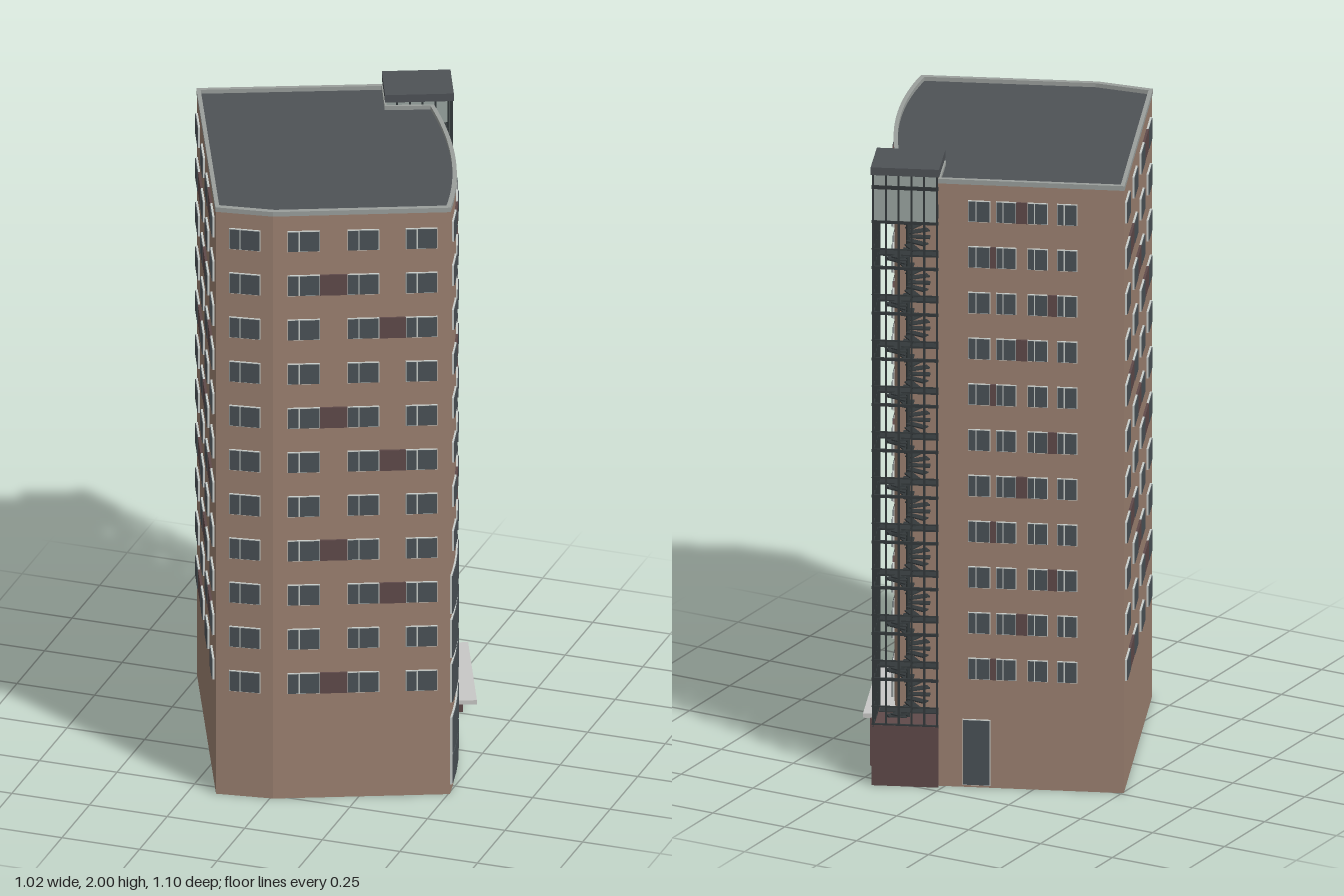
import * as THREE from 'three';

const paint = (name, color, side = THREE.FrontSide) => {
  const m = new THREE.MeshStandardMaterial({ color, side });
  m.name = name;
  return m;
};
const BRICK = paint('brick', 0x9c8171, THREE.DoubleSide);
const ROOF = paint('roofGrey', 0x4e5256);
const RIM = paint('rimGrey', 0x9a9f9c);
const GLASS = paint('darkGlass', 0x4a5156);
const FRAME = paint('windowFrame', 0xc9cecb);
const MAROON = paint('maroonPanel', 0x5f4a4a);
const STEEL = paint('darkSteel', 0x33393b);
const PALE = paint('paleGlass', 0x9aa5a1, THREE.DoubleSide);
const CANOPY = paint('canopyGrey', 0xc8c8c6);

// Plan corners as [x, z]; the right wall is a shallow arc x(z)
const A = [-0.505, -0.24], B = [-0.165, 0.545], C = [0.01, 0.52], D = [0.505, 0.31];
const E = [0.21, -0.37], N = [0.077, -0.318], F = [0.018, -0.457];
const arc = (z) => {
  const s = (z + 0.03) / 0.34;
  return [0.4 + 0.1475 * s - 0.0425 * s * s, z];
};
const mix = (a, b, t) => [a[0] + (b[0] - a[0]) * t, a[1] + (b[1] - a[1]) * t];
const arcPoints = Array.from({ length: 25 }, (_, i) => arc(0.31 - (0.68 * i) / 24));
const outline = [A, B, C, ...arcPoints, N, F];
const TOP = 1.952, ROWS = 11, STEP = 0.148;

function add(parent, name, geometry, material) {
  const m = new THREE.Mesh(geometry, material);
  m.name = name;
  parent.add(m);
  return m;
}
function group(parent, name) {
  const g = new THREE.Group();
  g.name = name;
  parent.add(g);
  return g;
}
function block(parent, name, w, h, d, x, y, z, material) {
  const m = add(parent, name, new THREE.BoxGeometry(w, h, d), material);
  m.position.set(x, y, z);
  return m;
}
// Thin plate standing on the wall line a-b, sticking out by `out`
function plate(parent, name, a, b, y0, y1, out, material) {
  const dx = b[0] - a[0], dz = b[1] - a[1];
  const m = block(parent, name, Math.hypot(dx, dz), y1 - y0, out,
    (a[0] + b[0]) / 2, (y0 + y1) / 2, (a[1] + b[1]) / 2, material);
  m.rotation.y = Math.atan2(-dz, dx);
  m.translateZ(out / 2);
}
// Frame plate with a grid of glass panes on it
function glazing(parent, name, a, b, y0, y1, cols, rows = [0, 1], edge = 0.004) {
  const g = group(parent, name);
  const e = edge / 2 / Math.hypot(b[0] - a[0], b[1] - a[1]);
  plate(g, 'frame', a, b, y0, y1, 0.006, FRAME);
  for (let i = 0; i + 1 < cols.length; i++)
    for (let j = 0; j + 1 < rows.length; j++)
      plate(g, 'pane', mix(a, b, cols[i] + e), mix(a, b, cols[i + 1] - e),
        y0 + (y1 - y0) * rows[j] + edge / 2, y0 + (y1 - y0) * rows[j + 1] - edge / 2, 0.0085, GLASS);
}
// Open wall strip along plan points
function strip(points, y0, y1) {
  const pos = [], idx = [];
  points.forEach(([x, z], i) => {
    pos.push(x, y0, z, x, y1, z);
    if (i) idx.push(2 * i - 2, 2 * i, 2 * i + 1, 2 * i - 2, 2 * i + 1, 2 * i - 1);
  });
  const g = new THREE.BufferGeometry();
  g.setAttribute('position', new THREE.Float32BufferAttribute(pos, 3));
  g.setIndex(idx);
  g.computeVertexNormals();
  return g;
}
const planShape = (pts) => new THREE.Shape(pts.map(([x, z]) => new THREE.Vector2(x, -z)));
function slab(shape, y0, y1) {
  return new THREE.ExtrudeGeometry(shape, { depth: y1 - y0, bevelEnabled: false })
    .rotateX(-Math.PI / 2).translate(0, y0, 0);
}
// Rows of windows; gaps[row % 3] lists the window gaps filled by maroon panels
function windowRows(parent, name, at, spans, gaps, visible = () => true) {
  const g = group(parent, name);
  for (let r = 0; r < ROWS; r++) {
    const y = 1.865 - r * STEP;
    spans.forEach(([s, e], i) => {
      if (!visible(r, i)) return;
      glazing(g, 'window', at(s), at(e), y - 0.034, y + 0.034, [0, 0.36, 1]);
      if (gaps[r % 3].includes(i) && i + 1 < spans.length)
        plate(g, 'spandrel', at(e), at(spans[i + 1][0]), y - 0.034, y + 0.034, 0.007, MAROON);
    });
  }
}

function stairTower(parent) {
  const g = group(parent, 'stairTower');
  g.position.set(0.1375, 0, -0.434);
  g.rotation.y = 0.4;
  const W = 0.203, P = 0.17, y0 = 0.195, y1 = 1.975, mid = (y0 + y1) / 2, h = y1 - y0;
  block(g, 'towerBase', W, y0, P, 0, y0 / 2, 0, MAROON);
  block(g, 'towerRoof', 0.209, 0.025, 0.174, 0, 1.9875, 0, ROOF);
  // Posts and rails on the outer sides
  for (let i = 0; i <= 5; i++)
    block(g, 'backPost', 0.006, h, 0.008, -W / 2 + 0.004 + (i * (W - 0.008)) / 5, mid, -P / 2 + 0.004, STEEL);
  for (let i = 1; i <= 4; i++)
    block(g, 'sidePost', 0.008, h, 0.006, W / 2 - 0.004, mid, -P / 2 + 0.004 + (i * (P - 0.008)) / 4, STEEL);
  for (let r = 0; r <= ROWS; r++) {
    const y = y0 + r * STEP;
    block(g, 'backRail', W, 0.009, 0.007, 0, y, -P / 2 + 0.004, STEEL);
    block(g, 'sideRail', 0.007, 0.009, P, W / 2 - 0.004, y, 0, STEEL);
    block(g, 'landing', W - 0.02, 0.006, 0.05, 0, y, P / 2 - 0.03, STEEL);
    if (r < ROWS) {
      block(g, 'backHandrail', W, 0.004, 0.004, 0, y + 0.06, -P / 2 + 0.004, STEEL);
      block(g, 'sideHandrail', 0.004, 0.004, P, W / 2 - 0.004, y + 0.06, 0, STEEL);
    }
  }
  // Spiral stair
  const stair = group(g, 'spiralStair');
  const newel = add(stair, 'newel', new THREE.CylinderGeometry(0.006, 0.006, 1.62, 10), STEEL);
  newel.position.y = y0 + 0.81;
  const tread = new THREE.BoxGeometry(0.066, 0.004, 0.026).translate(0.035, 0, 0);
  for (let i = 0; i < ROWS * 12; i++) {
    const t = add(stair, 'tread', tread, STEEL);
    t.position.y = y0 + (i * STEP) / 12;
    t.rotation.y = (i * Math.PI) / 6;
  }
  // Glazed head
  block(g, 'backHeadGlass', W - 0.01, 0.152, 0.003, 0, 1.898, -P / 2 + 0.005, PALE);
  block(g, 'sideHeadGlass', 0.003, 0.152, P - 0.01, W / 2 - 0.005, 1.898, 0, PALE);
  block(g, 'headFloor', W - 0.012, 0.006, P - 0.012, 0, 1.823, 0, STEEL);
  block(g, 'headTopRail', W, 0.012, 0.007, 0, 1.935, -P / 2 + 0.004, STEEL);
}

export function createModel() {
  const model = new THREE.Group();
  model.name = 'towerBlock';

  // Walls, open underneath
  const walls = group(model, 'walls');
  const runs = { leftWall: [A, B], frontLeftWall: [B, C], frontWall: [C, D], curvedWall: [[...D], ...arcPoints.slice(1)],
    notchFront: [E, N], notchSide: [N, F], backWall: [F, A] };
  for (const [name, pts] of Object.entries(runs)) add(walls, name, strip(pts, 0, TOP), BRICK);

  // Roof and its rim
  add(model, 'roof', new THREE.ShapeGeometry(planShape(outline)).rotateX(-Math.PI / 2).translate(0, TOP, 0), ROOF);
  const ring = planShape(outline.map(([x, z]) => [x * 1.006, z * 1.006]));
  ring.holes.push(planShape(outline.map(([x, z]) => [x * 0.972, z * 0.972])));
  add(model, 'roofRim', slab(ring, 1.95, 1.965), RIM);

  // Windows
  const along = (a, b) => (t) => mix(a, b, t);
  windowRows(model, 'leftWindows', along(A, B),
    [[0.04, 0.165], [0.3, 0.42], [0.545, 0.665], [0.8, 0.92]], [[2], [0], [1]]);
  windowRows(model, 'frontLeftWindows', along(B, C), [[0.235, 0.78]], [[], [], []]);
  windowRows(model, 'frontWindows', along(C, D),
    [[0.08, 0.265], [0.42, 0.6], [0.75, 0.93]], [[], [0], [1]]);
  windowRows(model, 'backWindows', along(F, A),
    [[0.16, 0.28], [0.31, 0.42], [0.48, 0.59], [0.64, 0.75]], [[1], [0], [2]]);
  windowRows(model, 'curvedWindows', arc,
    [[0.27, 0.185], [0.13, 0.05], [0, -0.1], [-0.15, -0.23]], [[0, 2], [1], []], (r, i) => r < 8 || i > 1);

  // Large glazing and entrance on the curved wall
  const bays = [0.305, 0.223, 0.137, 0.05];
  for (let i = 0; i < 3; i++) {
    const a = arc(bays[i]), b = arc(bays[i + 1]);
    for (const y of [0.305, 0.453, 0.601]) glazing(model, 'hallGlazing', a, b, y, y + 0.128, [0, 1], [0, 1], 0.003);
    glazing(model, 'groundGlazing', a, b, 0.03, 0.255, [0, 1], [0, 0.45, 1], 0.008);
  }
  const doors = [0, -0.045, -0.12, -0.2, -0.235];
  for (let i = 0; i < 4; i++)
    glazing(model, 'entranceGlazing', arc(doors[i]), arc(doors[i + 1]), 0.01, 0.24, [0, 1], [0, 0.62, 1]);

  // Entrance lobby, canopy and back door
  add(model, 'lobby', slab(planShape([[0.2, -0.37], [0.285, -0.405], [0.345, -0.26], [0.285, -0.235]]), 0, 0.152), MAROON);
  for (const t of [0.35, 0.8])
    plate(model, 'lobbyJoint', mix([0.345, -0.26], [0.285, -0.405], t), mix([0.345, -0.26], [0.285, -0.405], t + 0.03), 0, 0.15, 0.003, STEEL);
  add(model, 'canopy', slab(planShape([[0.21, -0.365], [0.31, -0.405], [0.475, -0.02], [0.41, 0.005]]), 0.151, 0.165), CANOPY);
  glazing(model, 'backDoor', mix(F, A, 0.13), mix(F, A, 0.28), 0.008, 0.22, [0, 1]);

  stairTower(model);
  return model;
}
